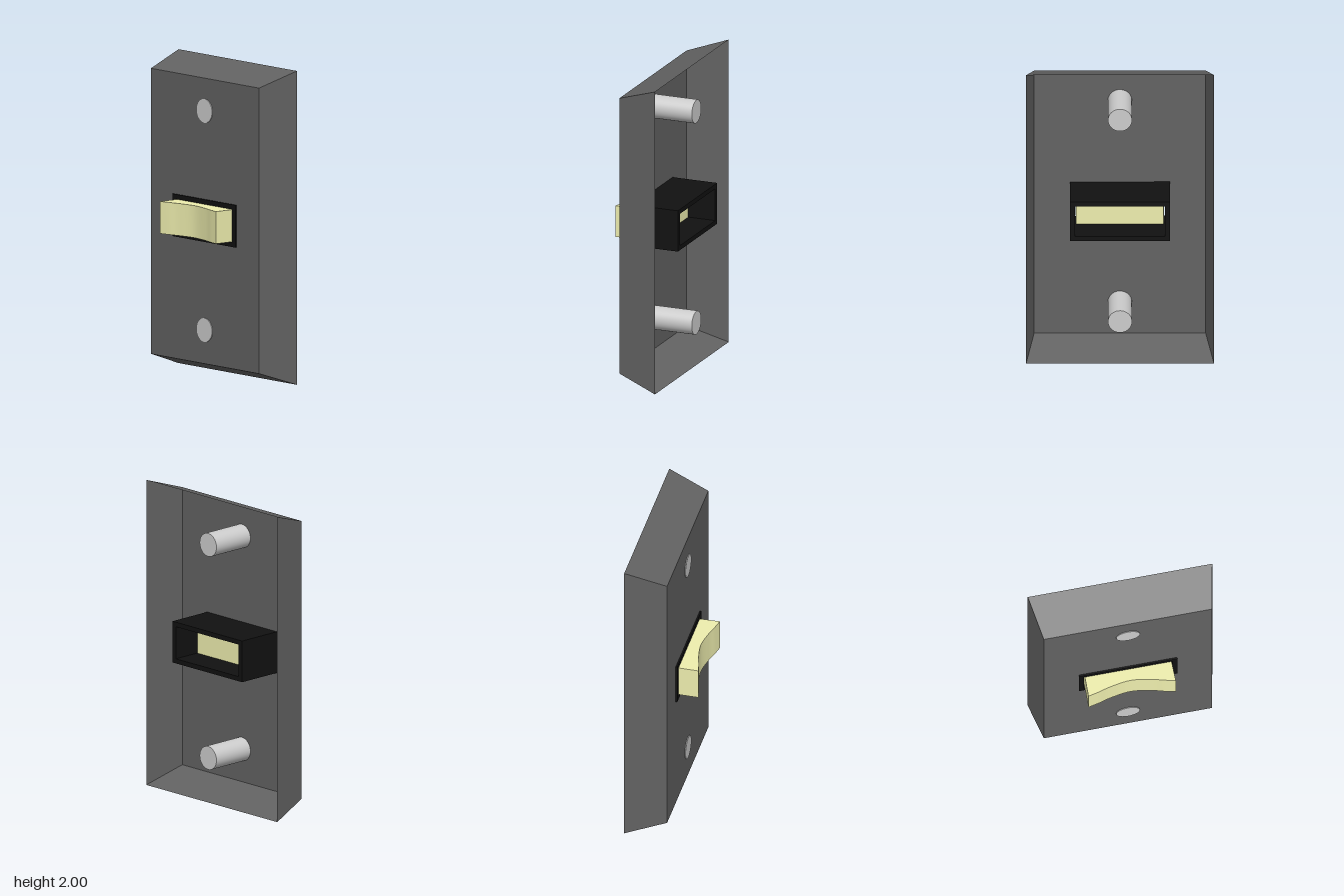
import * as THREE from 'three';
import { toCreasedNormals } from 'three/addons/utils/BufferGeometryUtils.js';

const FRONT = 0.083, BACK = -0.183;   // depth range of the plate
const MID = 1.003;                    // height of the switch centre

const corners = (w, h, cy) => [[-w, cy - h], [w, cy - h], [w, cy + h], [-w, cy + h]];
const points = list => list.map(([x, y]) => new THREE.Vector2(x, y));

// Rectangle with a rectangular opening, both given as half sizes
function frameShape(w, h, cy, holeW, holeH) {
  const shape = new THREE.Shape(points(corners(w, h, cy)));
  shape.holes.push(new THREE.Path(points(corners(holeW, holeH, MID))));
  return shape;
}

// Four sloped walls joining the front outline to the wider back outline
function slopedWalls() {
  const front = corners(0.54, 0.91, 1), back = corners(0.592, 1, 1);
  const pos = [];
  for (let i = 0; i < 4; i++) {
    const j = (i + 1) % 4;
    const fi = [...front[i], FRONT], fj = [...front[j], FRONT];
    const bi = [...back[i], BACK], bj = [...back[j], BACK];
    pos.push(...fi, ...bi, ...bj, ...fi, ...bj, ...fj);
  }
  const geo = new THREE.BufferGeometry();
  geo.setAttribute('position', new THREE.Float32BufferAttribute(pos, 3));
  geo.computeVertexNormals();
  return geo;
}

export function createModel() {
  const group = new THREE.Group();
  const plateMat = new THREE.MeshStandardMaterial({ color: 0x626262, side: THREE.DoubleSide });
  const housingMat = new THREE.MeshStandardMaterial({ color: 0x111111 });
  const rockerMat = new THREE.MeshStandardMaterial({ color: 0xeeeeae });
  const screwMat = new THREE.MeshStandardMaterial({ color: 0xcccccc });

  const add = (name, geo, mat, parent = group) => {
    const mesh = new THREE.Mesh(geo, mat);
    mesh.name = name;
    parent.add(mesh);
    return mesh;
  };

  // Thin wall plate, open at the back
  const plate = new THREE.Group();
  plate.name = 'wallPlate';
  group.add(plate);
  const face = new THREE.ShapeGeometry(frameShape(0.54, 0.91, 1, 0.3, 0.12));
  add('plateFace', face.translate(0, 0, FRONT), plateMat, plate);
  add('plateWalls', slopedWalls(), plateMat, plate);

  // Rectangular sleeve around the rocker
  const sleeve = new THREE.ExtrudeGeometry(frameShape(0.315, 0.135, MID, 0.284, 0.105),
    { depth: 0.315, bevelEnabled: false });
  add('switchHousing', sleeve.translate(0, 0, -0.222), housingMat);

  // Rocker with a shallow scooped front; profile runs in x and z
  const scoop = new THREE.SplineCurve(points([
    [0.28, 0.222], [0.21, 0.207], [0.13, 0.186], [0, 0.168],
    [-0.13, 0.186], [-0.21, 0.207], [-0.28, 0.222],
  ]));
  const profile = new THREE.Shape([
    ...points([[-0.276, -0.04], [0.276, -0.04]]), ...scoop.getPoints(36),
  ]);
  const rocker = new THREE.ExtrudeGeometry(profile, { depth: 0.205, bevelEnabled: false });
  rocker.rotateX(Math.PI / 2).translate(0, MID + 0.1025, 0);
  add('rocker', toCreasedNormals(rocker, 0.5), rockerMat);

  // Mounting screws, flush at the front and passing out of the back
  for (const [name, y] of [['upperScrew', 1.702], ['lowerScrew', 0.305]]) {
    const screw = new THREE.CylinderGeometry(0.076, 0.076, 0.303, 40);
    add(name, screw.rotateX(Math.PI / 2).translate(0, y, -0.0635), screwMat);
  }
  return group;
}
